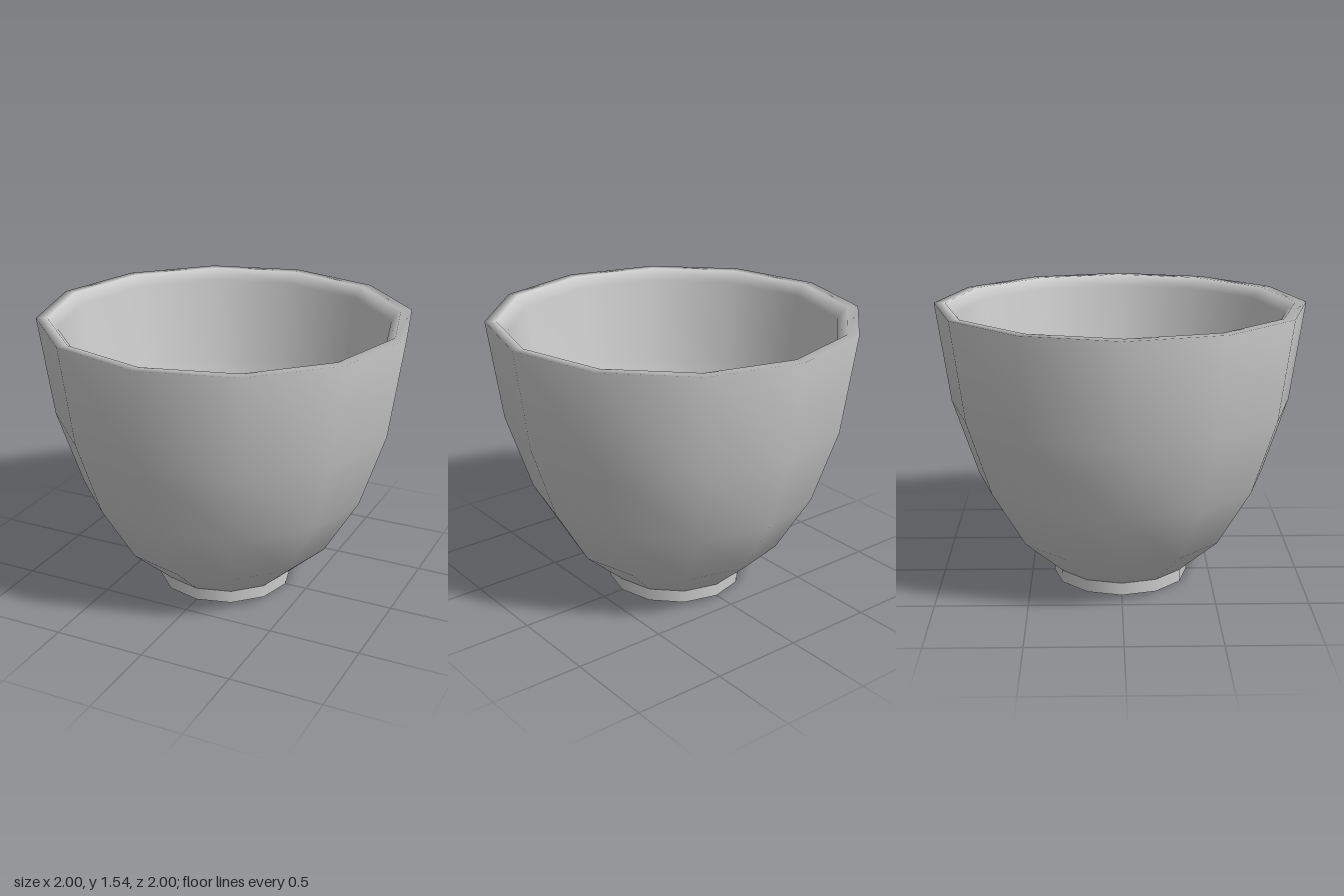
import * as THREE from 'three';

const SIDES = 12;

export function createModel() {
  const group = new THREE.Group();
  group.name = 'cup';
  const material = new THREE.MeshStandardMaterial({ color: 0xcccccc });

  // Bowl: outer wall upward, over the bevelled rim, then down the inside
  const profile = [
    [0.375, 0.07], [0.6, 0.27], [0.79, 0.59], [0.925, 1.0], [1, 1.54],
    [0.94, 1.54], [0.89, 1.48],
    [0.84, 1.02], [0.72, 0.64], [0.55, 0.35], [0.33, 0.17], [0, 0.13],
  ].map(([r, y]) => new THREE.Vector2(r, y));
  const bowl = new THREE.Mesh(new THREE.LatheGeometry(profile, SIDES), material);
  bowl.name = 'bowl';

  // Foot ring with a flat underside
  const foot = new THREE.Mesh(new THREE.CylinderGeometry(0.375, 0.375, 0.07, SIDES), material);
  foot.name = 'foot';
  foot.position.y = 0.035;

  group.add(bowl, foot);
  return group;
}
